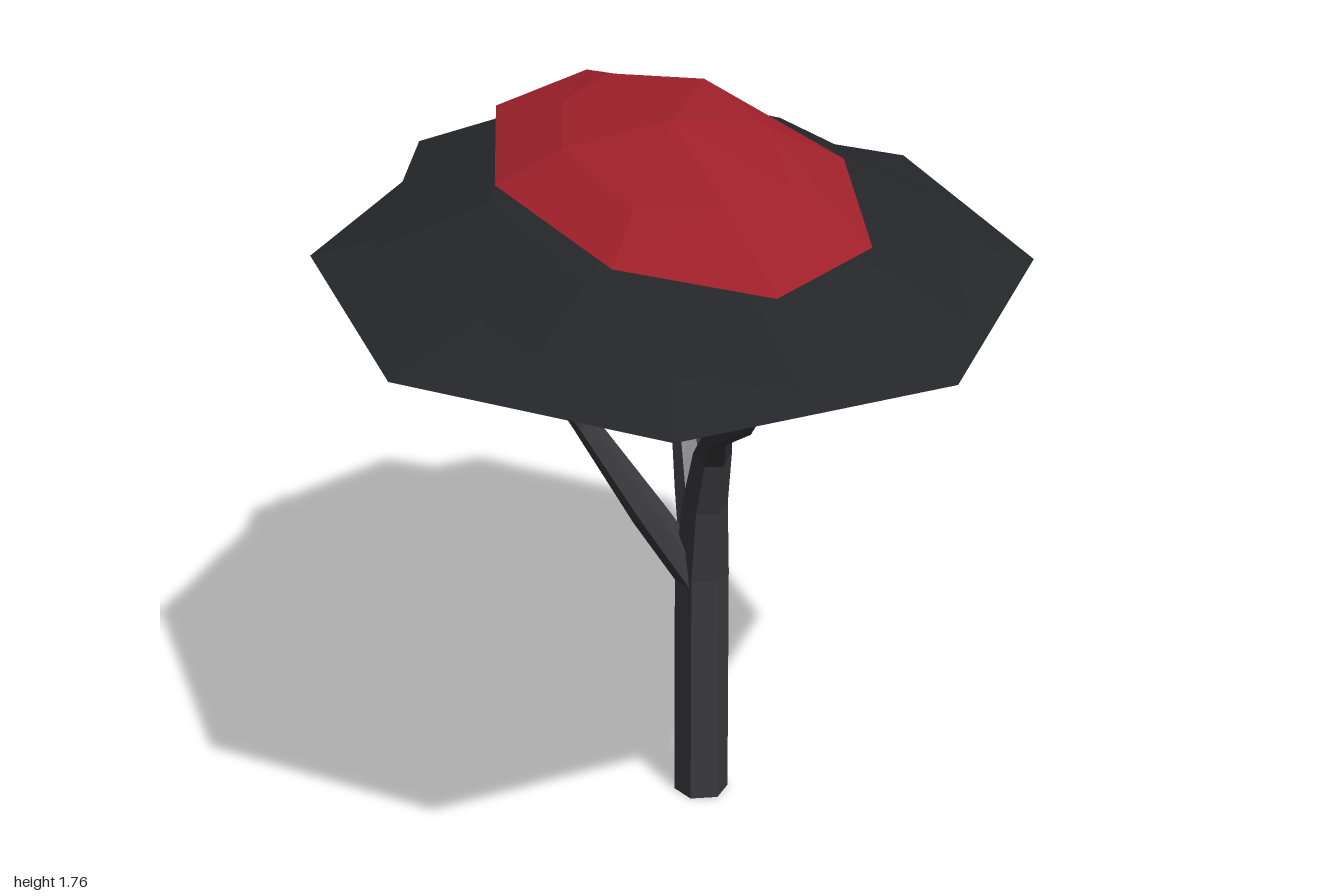
import * as THREE from 'three';

const mat = (color) => new THREE.MeshStandardMaterial({ color, flatShading: true, roughness: 0.9 });

// Joins rings of equal length into a faceted skin, closed by a point at each end
function skin(rings, start, end) {
  const pos = [];
  const n = rings[0].length;
  const tri = (...pts) => pts.forEach((p) => pos.push(p.x, p.y, p.z));
  for (let i = 0; i < n; i++) {
    const j = (i + 1) % n;
    tri(start, rings[0][j], rings[0][i]);
    for (let k = 0; k + 1 < rings.length; k++) {
      const a = rings[k], b = rings[k + 1];
      tri(a[i], a[j], b[j]);
      tri(a[i], b[j], b[i]);
    }
    const last = rings[rings.length - 1];
    tri(last[i], last[j], end);
  }
  const geo = new THREE.BufferGeometry();
  geo.setAttribute('position', new THREE.Float32BufferAttribute(pos, 3));
  geo.computeVertexNormals();
  return geo;
}

// Tapered six-sided limb through points [x, y, z, radius]
function limb(points) {
  const up = new THREE.Vector3(0, 1, 0);
  const centres = points.map(([x, y, z]) => new THREE.Vector3(x, y, z));
  const last = centres.length - 1;
  const rings = centres.map((c, k) => {
    const dir = centres[Math.min(k + 1, last)].clone().sub(centres[Math.max(k - 1, 0)]).normalize();
    const q = new THREE.Quaternion().setFromUnitVectors(up, k === 0 ? up : dir);
    return Array.from({ length: 6 }, (_, i) => {
      const a = (i / 6) * Math.PI * 2 + 0.4;
      return new THREE.Vector3(Math.cos(a), 0, -Math.sin(a)).multiplyScalar(points[k][3]).applyQuaternion(q).add(c);
    });
  });
  return skin(rings, centres[0], centres[last]);
}

// Low dome: flat underside, sharp rim, uneven shoulder and a centre peak
const SHOULDER = [0.63, 0.73, 0.6, 0.62, 0.66, 0.56, 0.6, 0.55];
const HEIGHT = [0.8, 0.45, 0.6, 0.6, 0.42, 0.56, 0.56, 0.75];
function canopy(half, rimY, rise) {
  const outline = [...half, ...half.map(([x, z]) => [-x, -z])];
  const ring = (scale, y) => outline.map(([x, z], i) => new THREE.Vector3(x * scale(i), y(i), z * scale(i)));
  const baseY = rimY - 0.02;
  return skin(
    [
      ring(() => 0.88, () => baseY),
      ring(() => 1, () => rimY),
      ring((i) => SHOULDER[i], (i) => rimY + rise * HEIGHT[i]),
    ],
    new THREE.Vector3(0, baseY, 0),
    new THREE.Vector3(0, rimY + rise, 0),
  );
}

export function createModel() {
  const group = new THREE.Group();
  const bark = mat(0x3a3a3e);
  const dark = mat(0x25272a);
  const red = mat(0xa3212b);
  const add = (name, geo, material) => {
    const mesh = new THREE.Mesh(geo, material);
    mesh.name = name;
    group.add(mesh);
  };

  // Trunk running on into the front limb
  add('trunk', limb([
    [0.075, 0, 0.03, 0.068], [0.08, 0.6, 0.025, 0.067], [0.06, 0.8, 0.055, 0.056],
    [0.035, 0.955, 0.105, 0.047], [-0.05, 1.06, 0.21, 0.032], [-0.105, 1.14, 0.35, 0.027],
    [-0.145, 1.24, 0.425, 0.02], [-0.172, 1.45, 0.475, 0.013],
  ]), bark);

  // Straight limb on the left
  add('leftBranch', limb([
    [0.09, 0.58, 0.02, 0.055], [0.14, 0.78, -0.07, 0.044],
    [0.2, 1.0, -0.17, 0.03], [0.255, 1.2, -0.19, 0.024], [0.315, 1.45, -0.2, 0.016],
  ]), bark);

  // Rear limb on the right, with its upright twig
  add('rightBranch', limb([
    [0.07, 0.58, 0.02, 0.055], [-0.02, 0.76, -0.06, 0.044], [-0.13, 1.0, -0.17, 0.03],
    [-0.19, 1.11, -0.205, 0.026], [-0.31, 1.22, -0.21, 0.018],
    [-0.39, 1.325, -0.2, 0.014], [-0.4, 1.45, -0.2, 0.011],
  ]), bark);
  add('rightTwig', limb([
    [-0.135, 1.0, -0.17, 0.026], [-0.155, 1.13, -0.205, 0.02],
    [-0.16, 1.25, -0.2, 0.016], [-0.178, 1.45, -0.195, 0.011],
  ]), bark);

  // Stacked canopy layers
  add('lowerCanopy', canopy([[0.98, -0.15], [0.78, -0.81], [0.13, -1], [-0.6, -0.6]], 1.43, 0.13), dark);
  add('middleCanopy', canopy([[0.8, -0.42], [0.54, -0.94], [0, -0.915], [-0.6, -0.355]], 1.51, 0.145), dark);
  add('topCanopy', canopy([[0.56, -0.395], [0.44, -0.765], [0.06, -0.685], [-0.36, -0.21]], 1.64, 0.125), red);

  return group;
}
